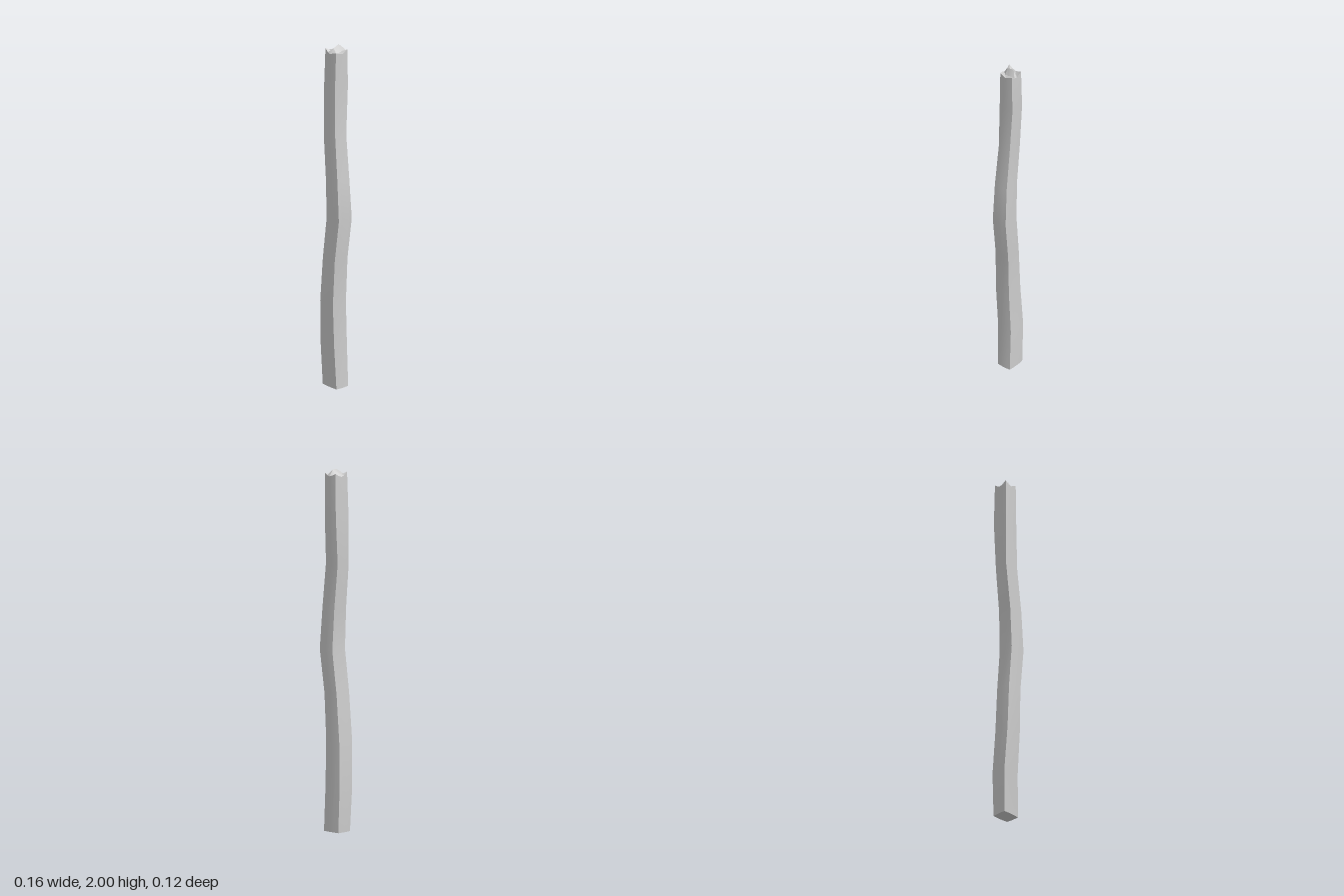
import * as THREE from 'three';
import { toCreasedNormals } from 'three/addons/utils/BufferGeometryUtils.js';

// Cross-sections up the post: y, left x, right x, back z, front z
const SECTIONS = [
  [0.00, -0.068, 0.042, -0.048, 0.040],
  [0.25, -0.077, 0.032, -0.047, 0.048],
  [0.50, -0.065, 0.036, -0.037, 0.060],
  [0.76, -0.048, 0.046, -0.040, 0.055],
  [1.00, -0.022, 0.075, -0.046, 0.050],
  [1.23, -0.032, 0.060, -0.041, 0.048],
  [1.48, -0.057, 0.034, -0.041, 0.042],
  [1.75, -0.057, 0.029, -0.056, 0.040],
  [1.97, -0.052, 0.031, -0.053, 0.034],
];

// Splintered top: height offsets, rows from back to front
const SPLINTERS = [
  [0.012, 0.002, -0.006, -0.002, 0.010],
  [-0.002, -0.008, 0.028, 0.000, 0.002],
  [-0.010, 0.006, 0.030, -0.004, -0.008],
  [-0.002, 0.000, 0.020, -0.008, 0.000],
  [0.014, -0.004, -0.010, 0.002, 0.006],
];

function createPost() {
  const rows = SECTIONS.length - 1;
  const geometry = new THREE.BoxGeometry(1, 1, 1, 4, rows, 4);
  const pos = geometry.attributes.position;
  for (let i = 0; i < pos.count; i++) {
    const u = pos.getX(i) + 0.5;
    const w = pos.getZ(i) + 0.5;
    const row = Math.round((pos.getY(i) + 0.5) * rows);
    const [y, x0, x1, z0, z1] = SECTIONS[row];
    // Faces bulge slightly along their middles; front and left faces lean a little
    const bulge = 0.003;
    const x = THREE.MathUtils.lerp(x0 + (1 - w) * 0.005, x1, u)
      + bulge * (2 * u - 1) * 4 * w * (1 - w);
    const z = THREE.MathUtils.lerp(z0, z1 - u * 0.006, w)
      + bulge * (2 * w - 1) * 4 * u * (1 - u);
    const lift = row === rows ? SPLINTERS[Math.round(w * 4)][Math.round(u * 4)] : 0;
    pos.setXYZ(i, x, y + lift, z);
  }
  const mesh = new THREE.Mesh(
    toCreasedNormals(geometry, 0.5),
    new THREE.MeshStandardMaterial({ color: 0xcccccc }),
  );
  mesh.name = 'crookedPost';
  return mesh;
}

export function createModel() {
  const group = new THREE.Group();
  group.name = 'woodenPost';
  group.add(createPost());
  return group;
}
